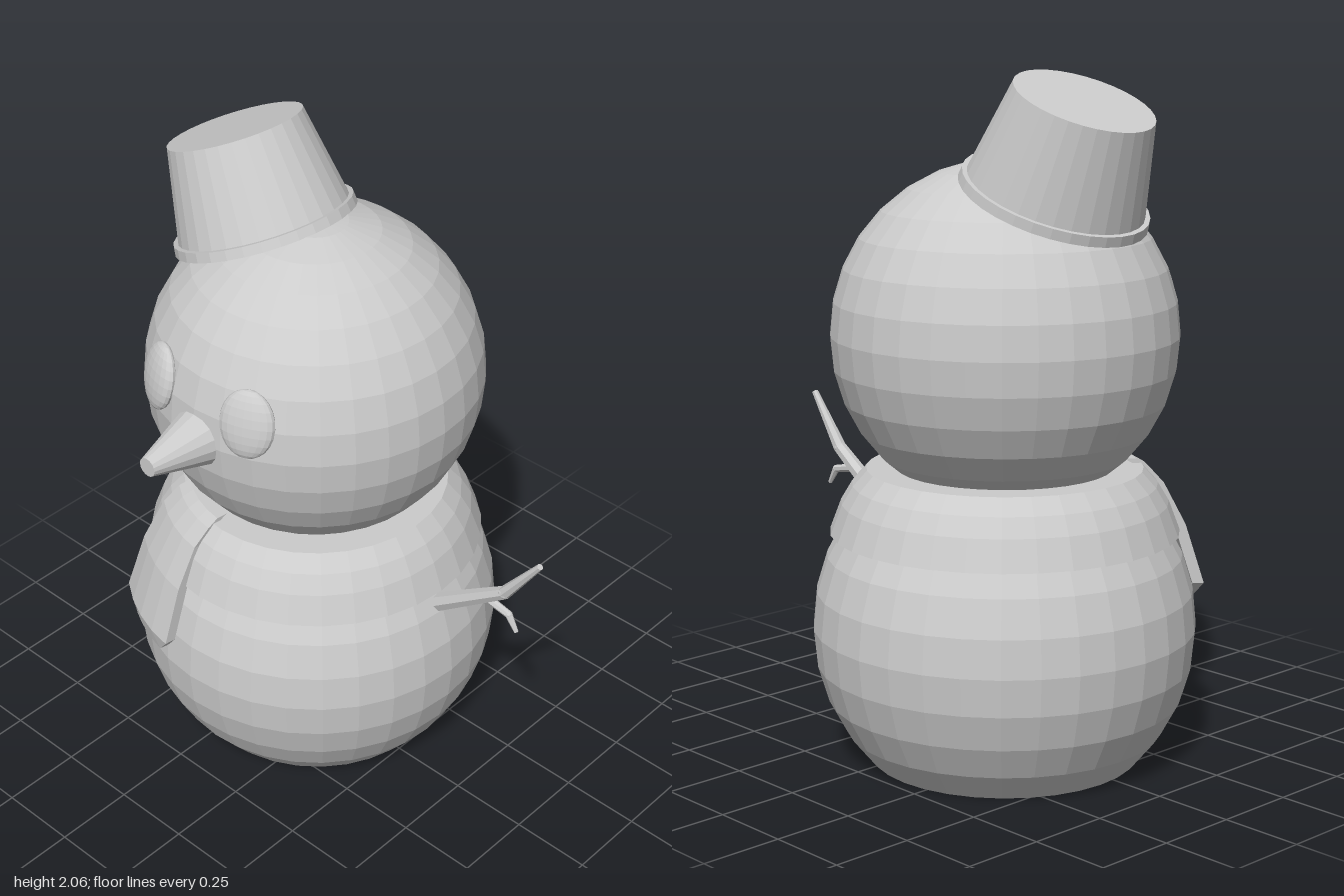
import * as THREE from 'three';

const CX = -0.163, CZ = -0.055; // vertical axis of the snowman
const SEG = 32;
const material = new THREE.MeshStandardMaterial({ color: 0xcccccc, flatShading: true });

function part(name, geometry, parent, x = 0, y = 0, z = 0) {
  const mesh = new THREE.Mesh(geometry, material);
  mesh.name = name;
  mesh.position.set(x, y, z);
  parent.add(mesh);
  return mesh;
}

const lathe = (points) =>
  new THREE.LatheGeometry(points.map(([r, y]) => new THREE.Vector2(r, y)), SEG);

// Tapered stick through a list of [x, y, radius] points
function stick(name, points, parent) {
  const group = new THREE.Group();
  group.name = name;
  for (let i = 0; i < points.length - 1; i++) {
    const [x0, y0, r0] = points[i], [x1, y1, r1] = points[i + 1];
    const dir = new THREE.Vector3(x1 - x0, y1 - y0, 0);
    const length = dir.length();
    const mesh = part(name + 'Segment' + (i + 1), new THREE.CylinderGeometry(r1, r0, length, 7),
      group, (x0 + x1) / 2, (y0 + y1) / 2, CZ);
    mesh.quaternion.setFromUnitVectors(new THREE.Vector3(0, 1, 0), dir.normalize());
    if (i > 0) part(name + 'Joint' + i, new THREE.IcosahedronGeometry(r0, 1), group, x0, y0, CZ);
  }
  parent.add(group);
}

// Hanging scarf end: a thick strip wrapped around the axis.
// Rows are [y, outer radius, start angle, end angle] in degrees towards the right side.
function scarfEndGeometry(rows, thickness, cols) {
  const pos = [], index = [];
  const ring = 2 * (cols + 1);
  for (const [y, r, a0, a1] of rows) {
    for (let k = 0; k < ring; k++) {
      const outer = k <= cols;
      const t = outer ? k / cols : (ring - 1 - k) / cols;
      const a = THREE.MathUtils.degToRad(a0 + (a1 - a0) * t);
      const radius = outer ? r : r - thickness;
      pos.push(-Math.sin(a) * radius, y, Math.cos(a) * radius);
    }
  }
  // Outer, inner and side walls
  for (let i = 0; i < rows.length - 1; i++) {
    for (let k = 0; k < ring; k++) {
      const a = i * ring + k, b = i * ring + (k + 1) % ring;
      index.push(a, b, a + ring, b, b + ring, a + ring);
    }
  }
  // Top and bottom caps
  const last = (rows.length - 1) * ring;
  for (let k = 0; k < cols; k++) {
    const o0 = k, o1 = k + 1, i0 = ring - 1 - k, i1 = ring - 2 - k;
    index.push(o0, i0, o1, o1, i0, i1);
    index.push(last + o0, last + o1, last + i0, last + o1, last + i1, last + i0);
  }
  const geometry = new THREE.BufferGeometry();
  geometry.setAttribute('position', new THREE.Float32BufferAttribute(pos, 3));
  // Rows run downwards and columns towards -x, so flip the winding to face outwards
  for (let i = 0; i < index.length; i += 3) [index[i + 1], index[i + 2]] = [index[i + 2], index[i + 1]];
  geometry.setIndex(index);
  geometry.computeVertexNormals();
  return geometry;
}

export function createModel() {
  const model = new THREE.Group();
  model.name = 'snowman';

  // Lower snowball, cut flat underneath
  const bodyR = 0.575, bodyY = 0.35;
  const profile = [[0, 0], [0.43, 0.012], [0.48, 0.035]];
  for (let i = 4; i <= 16; i++) {
    const a = (i / 16) * Math.PI;
    profile.push([Math.max(0, bodyR * Math.sin(a)), bodyY - bodyR * Math.cos(a)]);
  }
  part('body', lathe(profile), model, CX, 0, CZ);

  // Head
  const headR = 0.515, headY = 1.23;
  part('head', new THREE.SphereGeometry(headR, SEG, 16), model, CX, headY, CZ);

  // Scarf around the neck and its hanging end
  part('scarf', lathe([[0.47, 0.64], [0.522, 0.64], [0.488, 0.73], [0.455, 0.785],
    [0.412, 0.832], [0.3, 0.832]]), model, CX, 0, CZ);
  const end = part('scarfEnd', scarfEndGeometry([
    [0.845, 0.395, 6, 38], [0.825, 0.43, 6, 38], [0.77, 0.48, 7, 38], [0.64, 0.548, 7, 38],
    [0.455, 0.607, 7, 38], [0.395, 0.595, 12, 30],
  ], 0.035, 4), model, CX, 0, CZ);
  end.material = material.clone();
  end.material.side = THREE.DoubleSide;

  // Eyes, flattened and lying on the head
  for (const side of [-1, 1]) {
    const eye = part(side < 0 ? 'rightEye' : 'leftEye', new THREE.SphereGeometry(1, 20, 12),
      model, CX + side * 0.178, 1.345, 0.413);
    eye.scale.set(0.086, 0.106, 0.032);
    eye.lookAt(CX + side * 0.178 * 3, headY + 0.115 * 3, CZ + 0.468 * 3);
  }

  // Blunt carrot nose
  const nose = part('nose', new THREE.CylinderGeometry(0.03, 0.089, 0.2, 16), model, CX, 1.226, 0.54);
  nose.rotation.x = Math.PI / 2;

  // Tilted bucket hat: rim and crown
  const hat = new THREE.Group();
  hat.name = 'hat';
  hat.position.set(-0.36, 1.632, CZ);
  hat.rotation.z = THREE.MathUtils.degToRad(22.5);
  part('hatRim', new THREE.CylinderGeometry(0.278, 0.282, 0.03, SEG), hat, 0, 0.015);
  part('hatCrown', new THREE.CylinderGeometry(0.208, 0.265, 0.29, SEG), hat, 0, 0.168);
  model.add(hat);

  // Single branch arm with a bent twig
  stick('branchArm', [[0.3, 0.555, 0.032], [0.6, 0.77, 0.021], [0.723, 0.937, 0.01]], model);
  stick('twig', [[0.53, 0.715, 0.014], [0.62, 0.697, 0.012], [0.652, 0.647, 0.007]], model);

  return model;
}
